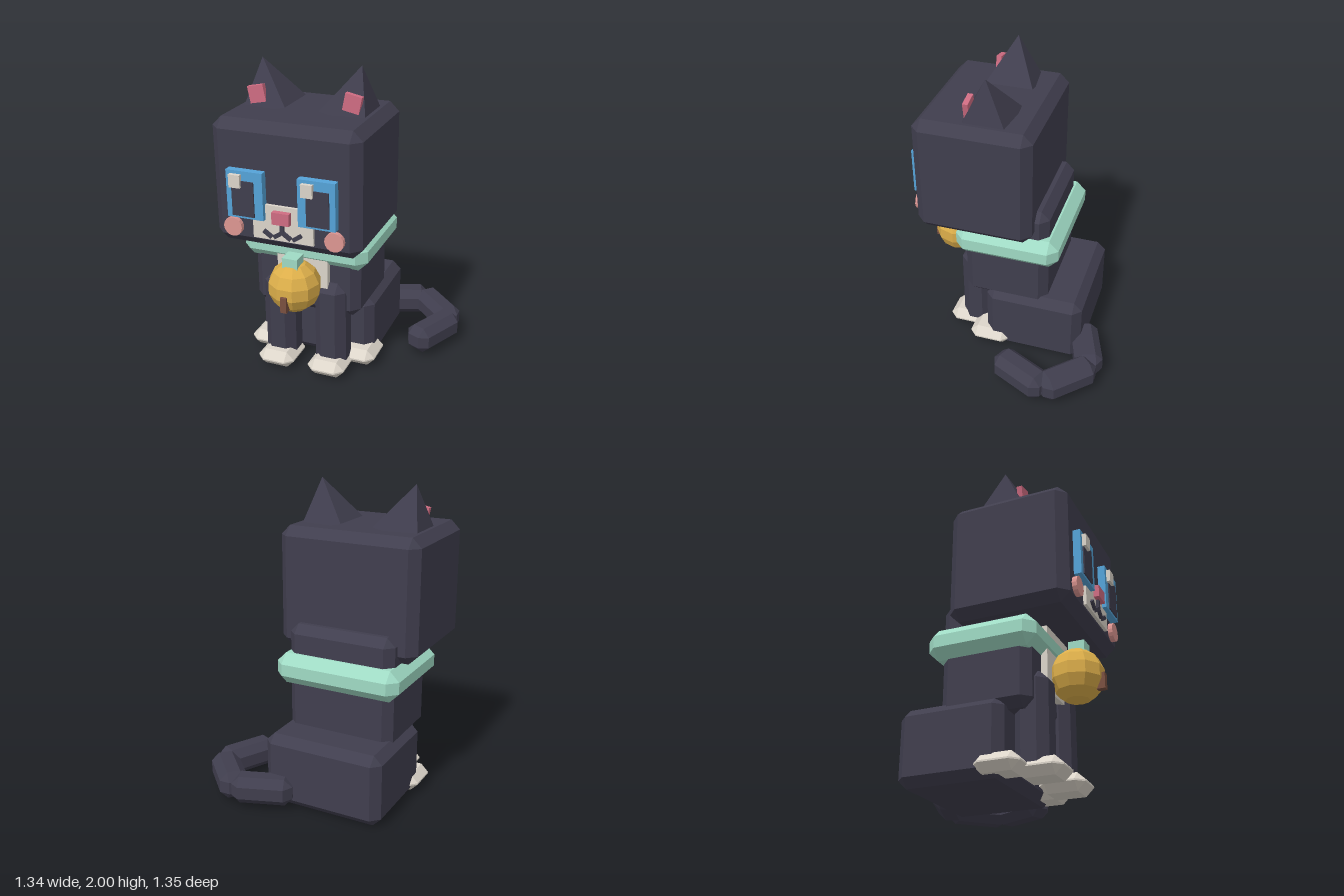
import * as THREE from 'three';
import { ConvexGeometry } from 'three/addons/geometries/ConvexGeometry.js';

const CX = -0.2; // the cat's own mirror plane; the tail fills the other side

export function createModel() {
  const mat = (name, color) => {
    const m = new THREE.MeshStandardMaterial({ color, flatShading: true });
    m.name = name;
    return m;
  };
  const fur = mat('dark fur', 0x403e4e);
  const cream = mat('cream', 0xdcd5ca);
  const mint = mat('mint', 0x9fdac4);
  const gold = mat('gold', 0xdcae4a);
  const brown = mat('brown', 0x7a5040);
  const blue = mat('eye blue', 0x55a3d8);
  const pink = mat('pink', 0xcf6c82);
  const blush = mat('blush', 0xdd9692);

  const cat = new THREE.Group();
  cat.name = 'cat';

  const add = (name, geometry, material) => {
    const m = new THREE.Mesh(geometry, material);
    m.name = name;
    cat.add(m);
    return m;
  };

  // Box with chamfered edges and triangular corners
  const chamferBox = (w, h, d, c) => {
    const pts = [];
    const half = [w / 2, h / 2, d / 2];
    for (const sx of [-1, 1]) for (const sy of [-1, 1]) for (const sz of [-1, 1]) {
      const s = [sx, sy, sz];
      for (let full = 0; full < 3; full++) {
        pts.push(new THREE.Vector3(...half.map((v, i) => s[i] * (i === full ? v : v - c))));
      }
    }
    return new ConvexGeometry(pts);
  };

  // Box given by its limits on each axis, chamfered when c > 0
  const block = (name, material, [x0, x1], [y0, y1], [z0, z1], c = 0) => {
    const size = [x1 - x0, y1 - y0, z1 - z0];
    const m = add(name, c ? chamferBox(...size, c) : new THREE.BoxGeometry(...size), material);
    m.position.set((x0 + x1) / 2, (y0 + y1) / 2, (z0 + z1) / 2);
    return m;
  };

  // x limits measured from the mirror plane, on side s
  const side = (s, a, b) => (s > 0 ? [CX + a, CX + b] : [CX - b, CX - a]);

  // Head, body and collar
  block('head', fur, [-0.67, 0.27], [0.95, 1.73], [-0.16, 0.6], 0.06);
  block('torso', fur, [-0.56, 0.16], [0.4, 1.13], [-0.245, 0.32], 0.055);
  block('haunches', fur, [-0.6, 0.2], [0, 0.47], [-0.49, 0.17], 0.055);
  block('collar', mint, [-0.62, 0.22], [0.75, 0.95], [-0.32, 0.37], 0.062);
  block('chestBib', cream, [-0.37, -0.03], [0.54, 0.99], [0.3, 0.36]);

  // Bell
  add('bell', new THREE.SphereGeometry(0.168, 10, 7), gold).position.set(CX, 0.667, 0.48);
  block('bellLoop', mint, [-0.25, -0.15], [0.79, 0.875], [0.447, 0.547]);
  block('bellSlot', brown, [-0.22, -0.18], [0.56, 0.66], [0.6, 0.655]);

  for (const s of [-1, 1]) {
    const label = s > 0 ? 'left' : 'right';

    // Legs and paws
    block(label + 'FrontLeg', fur, side(s, 0.07, 0.28), [0.03, 0.64], [0.18, 0.385], 0.055);
    block(label + 'FrontPaw', cream, side(s, 0.05, 0.3), [0.01, 0.12], [0.19, 0.475], 0.05);
    block(label + 'HindPaw', cream, side(s, 0.2, 0.44), [0.02, 0.13], [0, 0.28], 0.05);

    // Ear: four-sided spike leaning outwards
    const ear = [[0.32, 2, 0.155]];
    for (const z of [0, 0.31]) ear.push([0.11, 1.745, z], [0.4, 1.68, z]);
    add(label + 'Ear', new ConvexGeometry(
      ear.map(([x, y, z]) => new THREE.Vector3(CX + s * x, y, z))), fur);
    const inner = block(label + 'InnerEar', pink, side(s, 0.253, 0.358), [1.75, 1.855], [0.252, 0.286]);
    inner.rotation.z = -s * 0.2;

    // Eye, pupil and highlight (highlights sit on the same side of both eyes)
    block(label + 'Eye', blue, side(s, 0.11, 0.343), [1.15, 1.445], [0.59, 0.647]);
    block(label + 'Pupil', fur, side(s, 0.165, 0.307), [1.165, 1.385], [0.63, 0.655]);
    const hx = s > 0 ? -0.06 : -0.515;
    block(label + 'EyeHighlight', cream, [hx, hx + 0.072], [1.345, 1.425], [0.64, 0.672]);

    // Cheek disc
    const cheek = add(label + 'Cheek', new THREE.CylinderGeometry(0.06, 0.06, 0.04, 16), blush);
    cheek.rotation.x = Math.PI / 2;
    cheek.position.set(CX + s * 0.325, 1.075, 0.61);

    // Mouth strokes
    for (const [x, y, len, tilt] of [[0.026, 1.068, 0.066, -0.6], [0.094, 1.066, 0.062, 0.6]]) {
      const stroke = add(label + 'MouthStroke', new THREE.BoxGeometry(len, 0.024, 0.03), fur);
      stroke.position.set(CX + s * x, y, 0.622);
      stroke.rotation.z = s * tilt;
    }
  }

  // Muzzle and nose
  block('muzzle', cream, [-0.393, -0.007], [1.025, 1.245], [0.59, 0.62]);
  block('nose', pink, [-0.255, -0.145], [1.142, 1.218], [0.61, 0.655]);
  block('mouthLine', fur, [-0.212, -0.188], [1.075, 1.145], [0.61, 0.638]);

  // Tail: overlapping chamfered links curling round on the ground, as [x, z] ends
  const links = [
    [[-0.007, -0.473], [0.36, -0.607]],
    [[0.33, -0.62], [0.61, -0.34]],
    [[0.605, -0.365], [0.435, -0.005]],
  ];
  links.forEach(([[x0, z0], [x1, z1]], i) => {
    const link = add('tailLink' + (i + 1),
      chamferBox(0.185, 0.18, Math.hypot(x1 - x0, z1 - z0), 0.05), fur);
    link.position.set((x0 + x1) / 2, 0.12, (z0 + z1) / 2);
    link.rotation.y = Math.atan2(x1 - x0, z1 - z0);
  });

  return cat;
}
